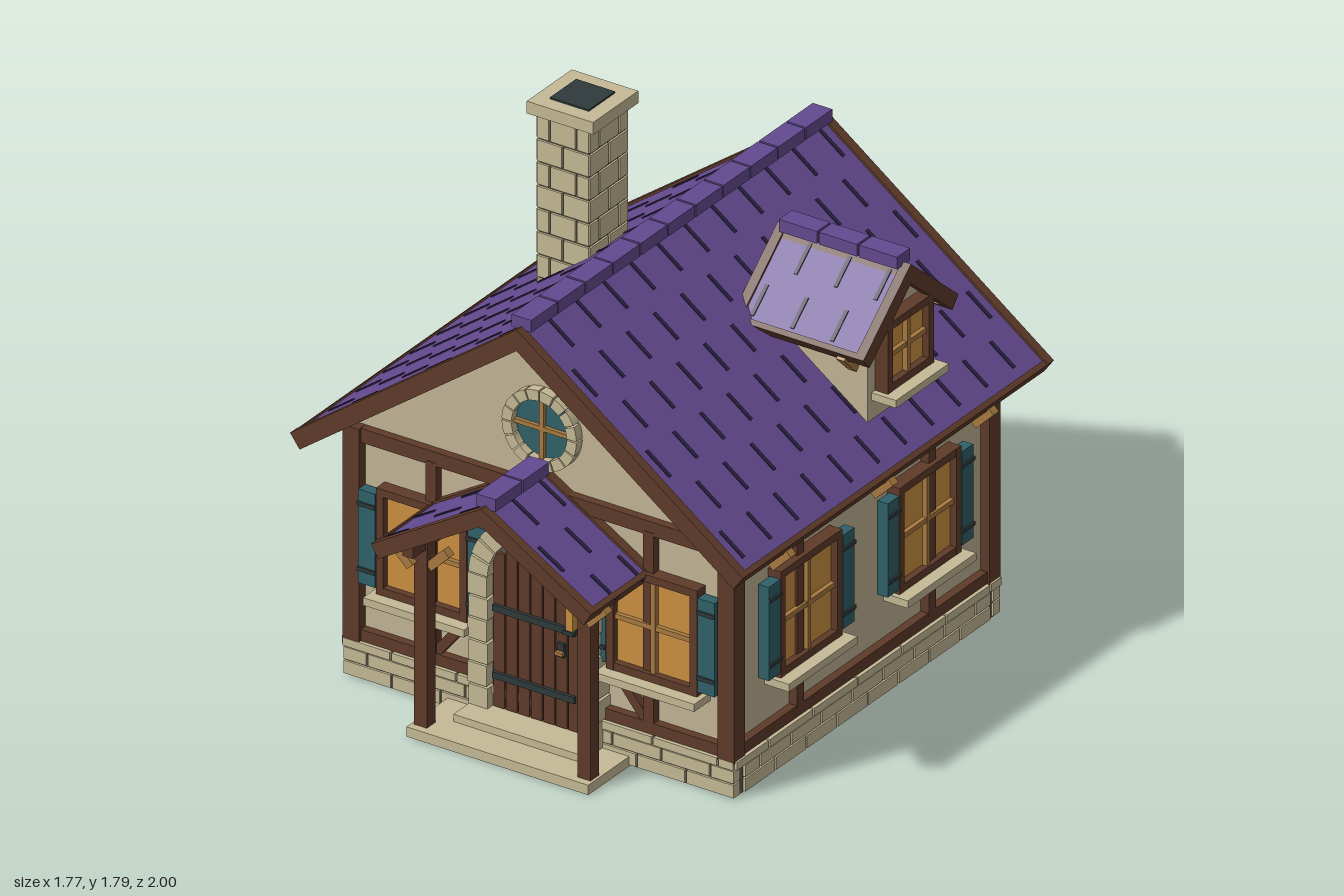
import * as THREE from 'three';

const mat = (name, color) => {
  const m = new THREE.MeshStandardMaterial({ color });
  m.name = name;
  return m;
};
const M = {
  tile: mat('purple roof tile', 0x634a90),
  slit: mat('dark tile gap', 0x2c2142),
  timber: mat('brown timber', 0x5f3b2a),
  pale: mat('pale wood', 0xa87a40),
  plaster: mat('cream plaster', 0xc3b496),
  stone: mat('light stone', 0xc5b995),
  mortar: mat('dark mortar', 0x625a49),
  teal: mat('teal paint', 0x2f6169),
  glow: mat('amber glass', 0xcb9040),
  iron: mat('dark iron', 0x2f3a3c),
};

function add(parent, name, geo, m, x = 0, y = 0, z = 0) {
  const mesh = new THREE.Mesh(geo, m);
  mesh.name = name;
  mesh.position.set(x, y, z);
  parent.add(mesh);
  return mesh;
}
function group(parent, name, x = 0, y = 0, z = 0, ry = 0) {
  const g = new THREE.Group();
  g.name = name;
  g.position.set(x, y, z);
  g.rotation.y = ry;
  parent.add(g);
  return g;
}
// Box given by its low and high corners
function span(p, name, m, x0, x1, y0, y1, z0, z1) {
  return add(p, name, new THREE.BoxGeometry(x1 - x0, y1 - y0, z1 - z0), m, (x0 + x1) / 2, (y0 + y1) / 2, (z0 + z1) / 2);
}
// Straight bar between two points in the xy plane
function bar(p, name, m, x0, y0, x1, y1, w, z0, z1) {
  const b = span(p, name, m, 0, Math.hypot(x1 - x0, y1 - y0), 0, w, z0, z1);
  b.position.x = (x0 + x1) / 2;
  b.position.y = (y0 + y1) / 2;
  b.rotation.z = Math.atan2(y1 - y0, x1 - x0);
}
function extrude(p, name, m, shape, depth, z) {
  return add(p, name, new THREE.ExtrudeGeometry(shape, { depth, bevelEnabled: false, curveSegments: 16 }), m, 0, 0, z);
}
// House-shaped solid: straight walls with a gable on top
function gableWall(p, name, w, y0, ridge, slope, z0, z1) {
  const s = new THREE.Shape([[-w, y0], [w, y0], [w, ridge - slope * w], [0, ridge], [-w, ridge - slope * w]]
    .map(([x, y]) => new THREE.Vector2(x, y)));
  extrude(p, name, M.plaster, s, z1 - z0, z0);
}
// Row of stones with dark joints
function stoneRow(p, x0, x1, y0, y1, z0, z1, n, shift = 0) {
  const step = (x1 - x0) / n;
  for (let i = 0; i <= n; i++) {
    const a = Math.max(x0, x0 + (i - shift) * step), b = Math.min(x1, x0 + (i + 1 - shift) * step);
    if (b - a > 0.02) span(p, 'stone', M.stone, a + 0.004, b - 0.004, y0, y1, z0, z1);
  }
}
// Wedge stones around an arc
function stoneArc(p, name, cy, r0, r1, a0, a1, n, z0, z1) {
  const g = group(p, name), step = (a1 - a0) / n;
  for (let i = 0; i < n; i++) {
    const a = a0 + i * step + 0.02, b = a0 + (i + 1) * step - 0.02;
    const s = new THREE.Shape();
    s.absarc(0, cy, r1, a, b, false);
    s.absarc(0, cy, r0, b, a, true);
    extrude(g, 'wedgeStone', M.stone, s, z1 - z0, z0);
  }
}
// Gabled roof, ridge along local z
function roof(p, name, half, ridge, slope, z0, z1, t, ridgeCount) {
  const g = group(p, name, 0, 0, (z0 + z1) / 2), d = (z1 - z0) / 2;
  const angle = Math.atan(slope), L = half / Math.cos(angle);
  for (const turn of [0, Math.PI]) {
    const side = group(group(g, 'roofSide', 0, ridge, 0, turn), 'slope');
    side.rotation.z = -angle;
    span(side, 'tiles', M.tile, 0, L - 0.01, -0.03, -0.008, -d + 0.02, d - 0.02);
    span(side, 'underboards', M.timber, 0, L - 0.01, -0.05, -0.03, -d + 0.02, d - 0.02);
    span(side, 'eaveBoard', M.timber, L - 0.02, L, -t, -0.002, -d + 0.01, d - 0.01);
    for (const s of [-1, 1]) span(side, 'bargeboard', M.timber, 0, L, -t, 0, s * (d - 0.0175) - 0.0175, s * (d - 0.0175) + 0.0175);
    // Staggered gaps between tiles
    const cols = Math.floor((2 * d - 0.1) / 0.078);
    for (let c = 0; c <= cols; c++) {
      const z = (c - cols / 2) * 0.078;
      for (let k = c % 2; k * 0.178 + 0.14 < L; k += 2) {
        const u = k * 0.178 + 0.035;
        span(side, 'tileGap', M.slit, u, u + 0.115, -0.01, -0.004, z - 0.007, z + 0.007);
      }
    }
  }
  const step = (2 * d - 0.05) / ridgeCount;
  for (let i = 0; i < ridgeCount; i++) {
    const z = -d + 0.025 + i * step;
    span(g, 'ridgeTile', M.tile, -0.038, 0.038, ridge - 0.012, ridge + 0.033, z + 0.004, z + step - 0.004);
  }
}
// Window on a wall at local z = 0
function windowUnit(p, x, y, w, h, shutters) {
  const g = group(p, 'window', x, y, 0), a = w / 2, b = h / 2, f = 0.028;
  span(g, 'glass', M.glow, -a + f, a - f, -b + f, b - f, 0.016, 0.024);
  for (const s of [-1, 1]) {
    span(g, 'frameSide', M.timber, s * (a - f / 2) - f / 2, s * (a - f / 2) + f / 2, -b, b, 0, 0.05);
    span(g, 'frameRail', M.timber, -a, a, s * (b - f / 2) - f / 2, s * (b - f / 2) + f / 2, 0, 0.049);
    if (!shutters) continue;
    const c = s * (a + 0.036);
    span(g, 'shutter', M.teal, c - 0.033, c + 0.033, -b + 0.02, b - 0.025, 0.01, 0.05);
    for (const hy of [-0.12, 0.12]) span(g, 'shutterHinge', M.iron, c - 0.035, c + 0.035, hy - 0.007, hy + 0.007, 0.05, 0.057);
  }
  span(g, 'mullion', M.pale, -0.009, 0.009, -b + f, b - f, 0.02, 0.042);
  span(g, 'glazingBar', M.pale, -a + f, a - f, -0.009, 0.009, 0.02, 0.04);
  span(g, 'sill', M.stone, -a - 0.02, a + 0.02, -b - 0.028, -b, 0, 0.095);
}
function bracketPair(p, x, y, z, outward = 1) {
  for (const s of [-1, 1]) bar(p, 'bracket', M.pale, s * (x + 0.035 * outward), y + 0.035, s * (x - 0.035 * outward), y - 0.035, 0.033, z - 0.016, z + 0.016);
}

export function createModel() {
  const house = new THREE.Group();
  house.name = 'cottage';
  span(house, 'foundationCore', M.mortar, -0.757, 0.757, 0, 0.132, -0.86, 0.66);
  gableWall(house, 'walls', 0.73, 0.12, 1.497, 0.731, -0.83, 0.63);
  roof(house, 'mainRoof', 0.885, 1.555, 0.731, -1, 0.795, 0.063, 11);
  for (const x of [-0.733, 0.733]) for (const z of [-0.838, 0.638]) {
    span(house, 'cornerPost', M.timber, x - 0.032, x + 0.032, 0.13, 0.92, z - 0.032, z + 0.032);
  }
  for (const z of [0.49, -0.1, -0.68]) bracketPair(house, 0.83, 0.83, z);

  // Four faces, each with local z pointing outward
  const front = group(house, 'frontFace', 0, 0, 0.63);
  const back = group(house, 'backFace', 0, 0, -0.83, Math.PI);
  const left = group(house, 'leftFace', 0.73, 0, -0.1, Math.PI / 2);
  const right = group(house, 'rightFace', -0.73, 0, -0.1, -Math.PI / 2);
  for (const f of [front, back, left, right]) {
    const isEnd = f === front || f === back, half = isEnd ? 0.767 : 0.71;
    span(f, 'bottomBeam', M.timber, -0.7, 0.7, 0.138, 0.18, 0, 0.03);
    span(f, 'topBeam', M.timber, -0.7, 0.7, 0.868, 0.92, 0, 0.03);
    stoneRow(f, -half, half, 0.005, 0.052, 0, 0.038, 8);
    stoneRow(f, -half, half, 0.058, 0.102, 0, 0.038, 8, 0.5);
    stoneRow(f, -0.767, 0.767, 0.108, 0.137, 0, 0.042, 6, 0.25);
    const px = isEnd ? 0.425 : 0.38;
    for (const s of [-1, 1]) {
      span(f, 'wallPost', M.timber, s * px - 0.02, s * px + 0.02, 0.17, 0.88, 0, 0.032);
      if (isEnd) bar(f, 'wallBrace', M.timber, s * 0.42, 0.17, s * 0.29, 0.33, 0.034, 0, 0.028);
      if (f !== back) windowUnit(f, s * (isEnd ? 0.45 : 0.343), 0.537, 0.355, 0.39, true);
    }
    if (!isEnd) continue;
    // Round gable window
    const disc = new THREE.Shape();
    disc.absarc(0, 1.125, 0.112, 0, Math.PI * 2, false);
    extrude(f, 'roundGlass', M.teal, disc, 0.005, 0.001);
    stoneArc(f, 'roundWindowRing', 1.125, 0.108, 0.146, 0, Math.PI * 2, 16, 0, 0.035);
    span(f, 'roundMullion', M.pale, -0.008, 0.008, 1.015, 1.235, 0.004, 0.022);
    span(f, 'roundGlazingBar', M.pale, -0.11, 0.11, 1.117, 1.133, 0.004, 0.02);
  }

  // Arched plank door with stone surround
  const door = group(front, 'door');
  const arch = new THREE.Shape();
  arch.moveTo(-0.18, 0.06);
  arch.lineTo(0.18, 0.06);
  arch.absarc(0, 0.545, 0.18, 0, Math.PI, false);
  extrude(door, 'doorBacking', M.mortar, arch, 0.036, 0);
  for (let i = -3; i <= 3; i++) {
    const x = i * 0.049;
    span(door, 'plank', M.timber, x - 0.0215, x + 0.0215, 0.07, 0.545 + Math.sqrt(0.03 - x * x), 0.02, 0.05);
  }
  for (const y of [0.19, 0.437]) span(door, 'strapHinge', M.iron, -0.165, 0.155, y - 0.012, y + 0.012, 0.05, 0.062);
  span(door, 'latch', M.iron, 0.09, 0.115, 0.335, 0.385, 0.05, 0.062);
  span(door, 'handle', M.pale, 0.088, 0.117, 0.345, 0.358, 0.062, 0.075);
  for (const s of [-1, 1]) for (let i = 0; i < 6; i++) {
    const c = s * (0.215 + (i % 2) * 0.004), y = 0.062 + i * 0.0815;
    span(door, 'jambStone', M.stone, c - 0.037, c + 0.037, y, y + 0.075, 0, 0.07);
  }
  stoneArc(door, 'doorArch', 0.545, 0.178, 0.252, 0, Math.PI, 11, 0, 0.07);

  // Wall lantern beside the door
  const lamp = group(front, 'lantern', 0.165, 0.53, 0.09);
  span(lamp, 'lanternGlass', M.glow, -0.014, 0.014, -0.06, 0.055, -0.016, 0.016);
  span(lamp, 'lanternBase', M.iron, -0.02, 0.02, -0.075, -0.06, -0.022, 0.022);
  const cap = add(lamp, 'lanternCap', new THREE.ConeGeometry(0.032, 0.035, 4), M.iron, 0, 0.072, 0);
  cap.rotation.y = Math.PI / 4;
  span(lamp, 'lanternArm', M.iron, -0.006, 0.006, 0.06, 0.075, -0.09, 0);

  // Porch
  const porch = group(house, 'porch');
  roof(porch, 'porchRoof', 0.43, 0.987, 0.6, 0.63, 1, 0.055, 2);
  span(porch, 'lowerStep', M.stone, -0.355, 0.355, 0, 0.036, 0.66, 0.905);
  span(porch, 'upperStep', M.stone, -0.25, 0.25, 0.036, 0.063, 0.64, 0.79);
  for (const s of [-1, 1]) {
    span(porch, 'porchPost', M.timber, s * 0.32 - 0.025, s * 0.32 + 0.025, 0.036, 0.735, 0.828, 0.877);
    span(porch, 'porchPlate', M.timber, s * 0.32 - 0.02, s * 0.32 + 0.02, 0.69, 0.735, 0.64, 0.95);
  }
  bracketPair(porch, 0.38, 0.66, 0.885);
  bracketPair(porch, 0.26, 0.66, 0.853, -1);

  // Dormer facing +x
  const dormer = group(house, 'dormer', 0.73, 0, -0.33, Math.PI / 2);
  gableWall(dormer, 'dormerWalls', 0.178, 1.0, 1.48, 0.85, -0.4, 0);
  roof(dormer, 'dormerRoof', 0.275, 1.53, 0.85, -0.47, 0.05, 0.055, 3);
  windowUnit(dormer, 0, 1.237, 0.265, 0.255, false);
  bracketPair(dormer, 0.215, 1.24, -0.05);

  // Chimney
  const chimney = group(house, 'chimney', -0.475, 0, -0.287);
  span(chimney, 'chimneyCore', M.mortar, -0.098, 0.098, 1.04, 1.745, -0.106, 0.106);
  for (let i = 0; i < 8; i++) {
    const y = 1.06 + i * 0.085, shift = (i % 2) * 0.5;
    for (let k = 0; k < 4; k++) {
      const face = group(chimney, 'chimneyFace', 0, 0, 0, k * Math.PI / 2);
      const w = k % 2 ? 0.113 : 0.104, d = k % 2 ? 0.105 : 0.114;
      stoneRow(face, -w, w, y, y + 0.077, d - 0.02, d, 2, shift);
    }
  }
  span(chimney, 'chimneyCap', M.stone, -0.13, 0.13, 1.742, 1.787, -0.13, 0.13);
  span(chimney, 'flue', M.iron, -0.076, 0.076, 1.785, 1.793, -0.076, 0.076);
  return house;
}
